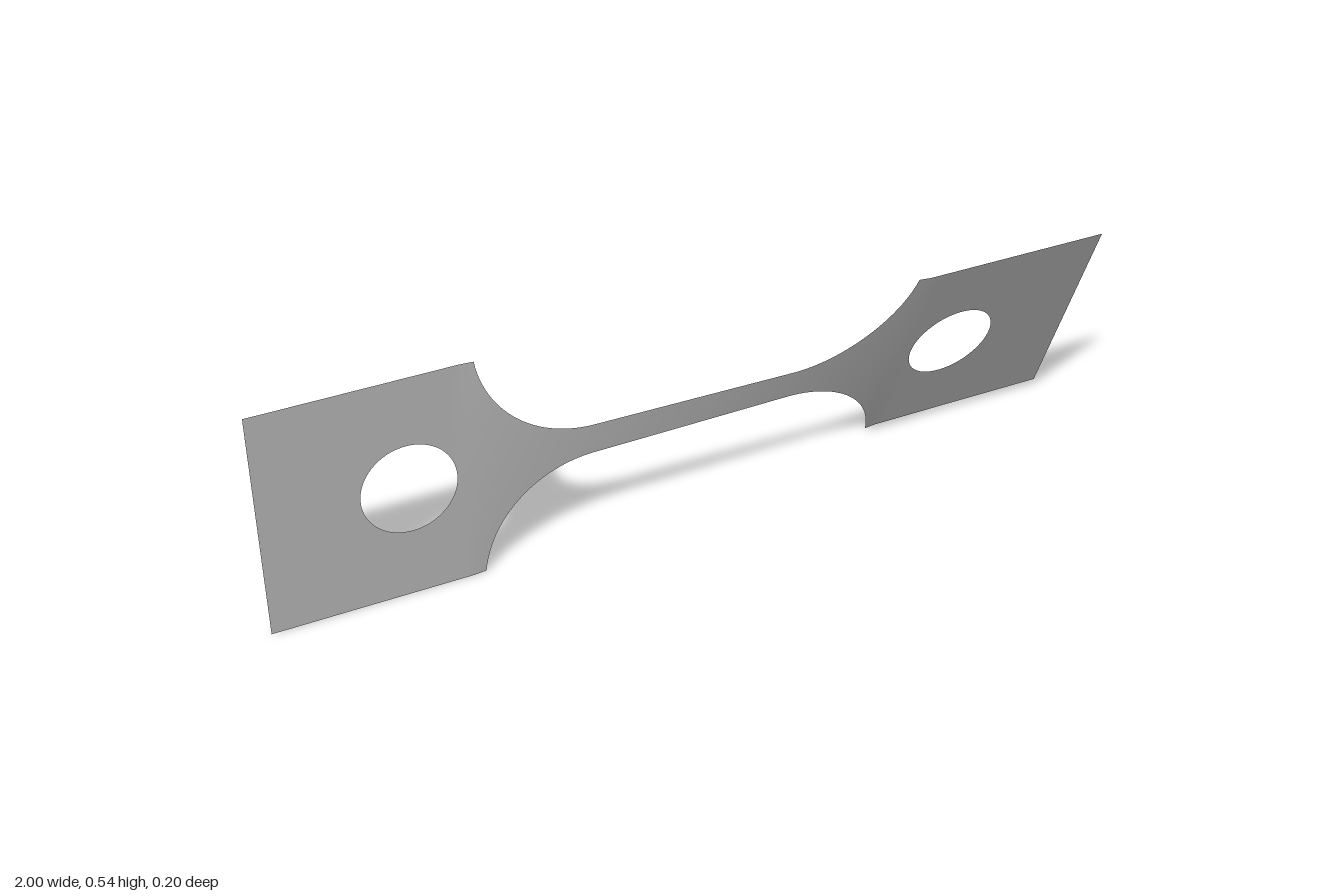
import * as THREE from 'three';
import { mergeGeometries, mergeVertices } from 'three/addons/utils/BufferGeometryUtils.js';

const MID = 0.272;            // height of the long axis, and half height of the end tabs
const NECK = 0.039;           // half height of the neck
const SHOULDER = 0.51;        // where the tabs begin
const FILLET = 0.27;          // radius of the concave shoulders
const FILLET_X = SHOULDER - Math.sqrt(FILLET ** 2 - (NECK + FILLET - MID) ** 2);
const HOLE_X = 0.67, HOLE_R = 0.108;
const TWIST = 0.375, TWIST_END = 0.54;

// Half height of the outline at x
function outline(x) {
  const a = Math.abs(x);
  if (a >= SHOULDER) return MID;
  if (a <= FILLET_X) return NECK;
  return NECK + FILLET - Math.sqrt(FILLET ** 2 - (a - FILLET_X) ** 2);
}

// Half height of the round hole at x
function hole(x) {
  const d = Math.abs(x) - HOLE_X;
  return Math.sqrt(Math.max(0, HOLE_R ** 2 - d * d));
}

// Twist angle, growing evenly from the left tab to the right tab
function twist(x) {
  return TWIST * THREE.MathUtils.clamp((x + TWIST_END) / (2 * TWIST_END), 0, 1);
}

// Columns along x, placed closely round the curves
function stations() {
  const half = [];
  for (let i = 1; i <= 10; i++) half.push(FILLET_X * i / 10);
  const sweep = Math.asin((SHOULDER - FILLET_X) / FILLET);
  for (let i = 1; i <= 24; i++) half.push(FILLET_X + FILLET * Math.sin(sweep * i / 24));
  half.push(TWIST_END);
  for (let i = 0; i <= 32; i++) half.push(HOLE_X - HOLE_R * Math.cos(Math.PI * i / 32));
  half.push(1);
  return [...half.map(x => -x).reverse(), 0, ...half];
}

// One half of the sheet, above (side 1) or below (side -1) the long axis
function strip(side) {
  const xs = stations(), n = xs.length - 1, rows = 6;
  const g = new THREE.PlaneGeometry(1, 1, n, rows);
  const p = g.attributes.position;
  for (let i = 0; i < p.count; i++) {
    const x = xs[Math.round((p.getX(i) + 0.5) * n)];
    const v = p.getY(i) + 0.5;
    const h = outline(x), r = hole(x);
    const off = side > 0 ? r + (h - r) * v : -h + (h - r) * v;
    const a = twist(x);
    p.setXYZ(i, x, MID + off * Math.cos(a), off * Math.sin(a));
  }
  g.deleteAttribute('uv');
  g.deleteAttribute('normal');
  return g;
}

export function createModel() {
  const group = new THREE.Group();
  group.name = 'twistedTestStrip';

  const metal = new THREE.MeshStandardMaterial({ color: 0xb4b4b4, side: THREE.DoubleSide });
  metal.name = 'greyMetal';

  // Sheet with two holed tabs joined by a narrow neck
  const geometry = mergeVertices(mergeGeometries([strip(1), strip(-1)]), 1e-5);
  geometry.computeVertexNormals();
  const sheet = new THREE.Mesh(geometry, metal);
  sheet.name = 'twistedSheet';
  group.add(sheet);
  return group;
}
